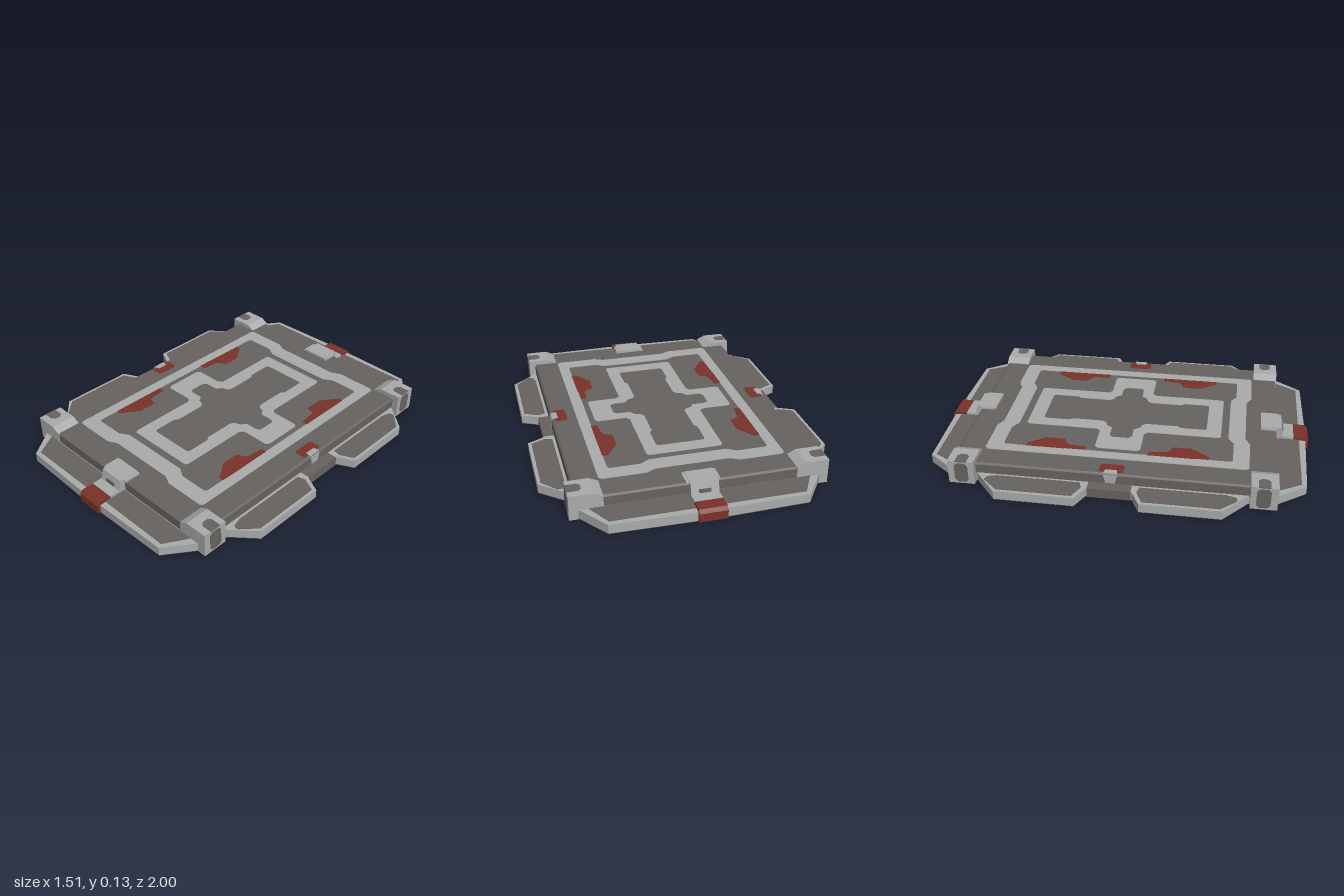
import * as THREE from 'three';

const flat = (name, color) => {
  const m = new THREE.MeshStandardMaterial({ color });
  m.name = name;
  return m;
};

export function createModel() {
  const group = new THREE.Group();
  const light = flat('light grey metal', 0xa9acab);
  const dark = flat('dark warm grey', 0x676360);
  const red = flat('dull red', 0x7a3229);

  const toShape = (pts) => new THREE.Shape(pts.map(([a, b]) => new THREE.Vector2(a, b)));
  const add = (name, geometry, material) => {
    const mesh = new THREE.Mesh(geometry, material);
    mesh.name = name;
    group.add(mesh);
    return mesh;
  };
  // Flat plate from an outline of [x, z] points between two heights
  const plate = (name, pts, y0, y1, material, hole) => {
    const flip = (list) => list.map(([x, z]) => [x, -z]);
    const shape = toShape(flip(pts));
    if (hole) shape.holes.push(toShape(flip(hole)));
    const g = new THREE.ExtrudeGeometry(shape, { depth: y1 - y0, bevelEnabled: false });
    g.rotateX(-Math.PI / 2).translate(0, y0, 0);
    return add(name, g, material);
  };
  const box = (name, w, h, d, x, y, z, material) =>
    add(name, new THREE.BoxGeometry(w, h, d).translate(x, y, z), material);
  // Complete an outline from its +x +z quarter, ordered from the x = 0 end to the z = 0 end
  const full = (q) => {
    const half = [...q, ...q.map(([x, z]) => [x, -z]).reverse()];
    return [...half, ...half.map(([x, z]) => [-x, z]).reverse()];
  };
  const mirror = (pts, sx, sz) => pts.map(([x, z]) => [x * sx, z * sz]);

  // Base tray with lobed outline and dark underside
  const baseLine = full([[0.07, 0.985], [0.49, 0.975], [0.60, 0.825], [0.61, 0.69],
    [0.755, 0.565], [0.755, 0.16], [0.665, 0.115]]);
  plate('baseTray', baseLine, 0.003, 0.05, light);
  plate('underside', baseLine, 0, 0.003, dark);

  // Raised slab with a narrow chamfer round the top
  const slab = new THREE.ExtrudeGeometry(
    toShape([[-0.6, -0.815], [0.6, -0.815], [0.6, 0.815], [-0.6, 0.815]]),
    { depth: 0.055, bevelEnabled: true, bevelSize: 0.01, bevelThickness: 0.008, bevelSegments: 1 });
  add('slab', slab.rotateX(-Math.PI / 2).translate(0, 0.044, 0), dark);

  // Light inlays on the slab: outer frame and cross-shaped ring
  const top = 0.107, inlay = 0.109;
  plate('outerFrame',
    full([[0.19, 0.66], [0.24, 0.685], [0.46, 0.685], [0.475, 0.67]]), top - 0.002, inlay, light,
    full([[0.20, 0.57], [0.25, 0.60], [0.405, 0.60], [0.415, 0.59]]));
  plate('crossRing',
    full([[0.19, 0.53], [0.20, 0.515], [0.20, 0.14], [0.22, 0.12], [0.37, 0.12], [0.385, 0.105]]),
    top - 0.002, inlay, light,
    full([[0.12, 0.45], [0.13, 0.44], [0.13, 0.31], [0.115, 0.29], [0.115, 0.12],
      [0.13, 0.10], [0.16, 0.09], [0.18, 0.06], [0.25, 0.06], [0.27, 0.045]]));

  for (const sz of [1, -1]) {
    // Dark inset on the end lobe
    plate('endInset', [[-0.55, 0.83], [0.55, 0.83], [0.48, 0.95], [-0.48, 0.95]]
      .map(([x, z]) => [x, z * sz]), 0.048, 0.053, dark);

    // End latch: stepped clip with red tip and dark socket
    const latch = new THREE.ExtrudeGeometry(
      toShape([[0.74, 0.10], [0.74, 0.12], [0.85, 0.12], [0.865, 0.065], [0.92, 0.065],
        [0.92, 0.01], [0.80, 0.01], [0.80, 0.10]]), { depth: 0.14, bevelEnabled: false });
    latch.rotateY(-Math.PI / 2).translate(0.07, 0, 0);
    if (sz < 0) latch.rotateY(Math.PI);
    add('latch', latch, light);
    box('latchPad', 0.17, 0.012, 0.09, 0, 0.111, 0.785 * sz, light);
    const tip = new THREE.ExtrudeGeometry(
      toShape([[0.92, 0.003], [0.92, 0.065], [0.985, 0.065], [1, 0.048], [1, 0.003]]),
      { depth: 0.14, bevelEnabled: false });
    tip.rotateY(-Math.PI / 2).translate(0.07, 0, 0);
    if (sz < 0) tip.rotateY(Math.PI);
    add('latchTip', tip, red);
    box('latchSocket', 0.06, 0.02, 0.006, 0, 0.078, 0.861 * sz, dark);

    for (const sx of [1, -1]) {
      // Dark inset on the side wing
      plate('wingInset', mirror([[0.625, 0.15], [0.665, 0.14], [0.738, 0.175], [0.738, 0.555],
        [0.665, 0.635], [0.64, 0.63], [0.625, 0.58]], sx, sz), 0.048, 0.053, dark);

      // Corner bracket sloping inward onto the slab
      const bracket = new THREE.ExtrudeGeometry(
        toShape([[0.645, 0], [0.645, 0.13], [0.525, 0.13], [0.48, 0.108], [0.48, 0.05],
          [0.60, 0.05], [0.60, 0]].map(([x, y]) => [x * sx, y])),
        { depth: 0.135, bevelEnabled: false });
      add('cornerBracket', bracket.translate(0, 0, sz > 0 ? 0.695 : -0.83), light);

      // Dark octagonal marks on the bracket top and outer side
      plate('bracketTopMark', mirror([[0.646, 0.73], [0.59, 0.73], [0.575, 0.745], [0.575, 0.775],
        [0.59, 0.79], [0.646, 0.79]], sx, sz), 0.128, 0.132, dark);
      const mark = new THREE.ExtrudeGeometry(
        toShape([[-0.035, 0.025], [-0.02, 0.01], [0.02, 0.01], [0.035, 0.025],
          [0.035, 0.105], [0.02, 0.12], [-0.02, 0.12], [-0.035, 0.105]]),
        { depth: 0.004, bevelEnabled: false });
      mark.rotateY(sx * Math.PI / 2).translate(0.643 * sx, 0, 0.76 * sz);
      add('bracketSideMark', mark, dark);

      // Red patch inside the outer frame
      plate('redPatch', mirror([[0.418, 0.165], [0.385, 0.165], [0.375, 0.26], [0.36, 0.275],
        [0.325, 0.285], [0.325, 0.385], [0.39, 0.478], [0.418, 0.478]], sx, sz),
      top - 0.002, inlay, red);
    }
  }

  for (const sx of [1, -1]) {
    // Dark block in the notch between the wings
    box('notchBlock', 0.07, 0.052, 0.22, 0.633 * sx, 0.026, 0, dark);
    // Red tab on the slab edge with a light catch beside it
    plate('sideTab', mirror([[0.525, -0.05], [0.535, -0.062], [0.59, -0.062], [0.59, 0.062],
      [0.535, 0.062], [0.525, 0.05]], sx, 1), top - 0.002, inlay, red);
    plate('sideCatchTop', mirror([[0.575, -0.03], [0.607, -0.035], [0.607, 0.035], [0.575, 0.03]],
      sx, 1), 0.106, 0.111, light);
    const catchFace = new THREE.ExtrudeGeometry(
      toShape([[-0.025, 0.055], [0.025, 0.055], [0.035, 0.1], [-0.035, 0.1]]),
      { depth: 0.005, bevelEnabled: false });
    catchFace.rotateY(sx * Math.PI / 2).translate(0.608 * sx, 0, 0);
    add('sideCatch', catchFace, light);
  }

  return group;
}
